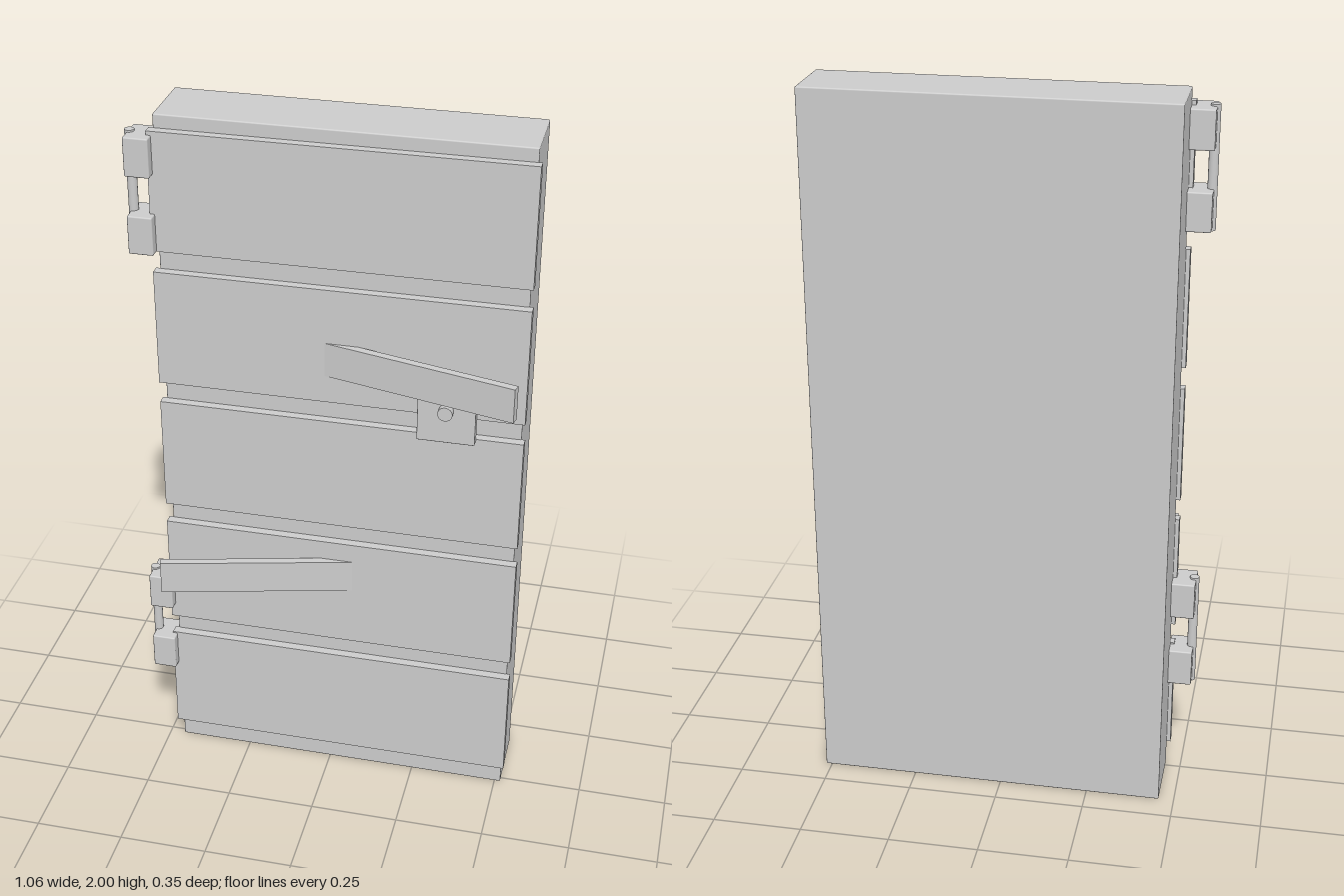
import * as THREE from 'three';
import { RoundedBoxGeometry } from 'three/addons/geometries/RoundedBoxGeometry.js';

const material = new THREE.MeshStandardMaterial({ color: 0xcccccc });

function add(parent, name, geometry, x, y, z) {
  const mesh = new THREE.Mesh(geometry, material);
  mesh.name = name;
  mesh.position.set(x, y, z);
  parent.add(mesh);
  return mesh;
}

// Box given by its limits on each axis, with optional softened edges
function block(parent, name, [x0, x1], [y0, y1], [z0, z1], bevel = 0) {
  const size = [x1 - x0, y1 - y0, z1 - z0];
  const geometry = bevel
    ? new RoundedBoxGeometry(...size, 2, bevel)
    : new THREE.BoxGeometry(...size);
  return add(parent, name, geometry, (x0 + x1) / 2, (y0 + y1) / 2, (z0 + z1) / 2);
}

// Two knuckles joined by a vertical pin
function hinge(parent, name, y) {
  const group = new THREE.Group();
  group.name = name;
  group.position.y = y;
  for (const s of [-1, 1]) {
    const c = s * 0.107;
    block(group, 'hingeKnuckle', [-0.522, -0.455], [c - 0.053, c + 0.053], [-0.025, 0.07], 0.004);
  }
  add(group, 'hingePin', new THREE.CylinderGeometry(0.013, 0.013, 0.33, 16), -0.517, 0, 0.022);
  parent.add(group);
}

// Slanted bar: its inner end sinks into the planks, its outer end swings forward
function bar(parent, name, outerX, side, y) {
  const angle = THREE.MathUtils.degToRad(14);
  const length = 0.56;
  const x = outerX - side * Math.cos(angle) * length / 2;
  const z = 0.161 - Math.sin(angle) * length / 2;
  const mesh = add(parent, name, new THREE.BoxGeometry(length, 0.097, 0.022), x, y, z);
  mesh.rotation.y = -side * angle;
}

export function createModel() {
  const door = new THREE.Group();
  door.name = 'door';

  // Main slab
  block(door, 'slab', [-0.457, 0.517], [0, 2], [-0.175, 0.017], 0.004);

  // Five horizontal planks on the front
  for (let i = 0; i < 5; i++) {
    const y = 0.073 + i * 0.39;
    block(door, 'plank', [-0.468, 0.527], [y, y + 0.33], [0.015, 0.042]);
  }

  // Hinges on the left edge of the front
  hinge(door, 'upperHinge', 1.792);
  hinge(door, 'lowerHinge', 0.453);

  // Slanted bars
  bar(door, 'upperBar', 0.514, 1, 1.37);
  bar(door, 'lowerBar', -0.453, -1, 0.688);

  // Lock plate and knob
  block(door, 'lockPlate', [0.245, 0.4], [1.175, 1.37], [0.035, 0.065], 0.003);
  const knob = add(door, 'knob', new THREE.CylinderGeometry(0.02, 0.02, 0.03, 24), 0.322, 1.272, 0.07);
  knob.rotation.x = Math.PI / 2;

  return door;
}
